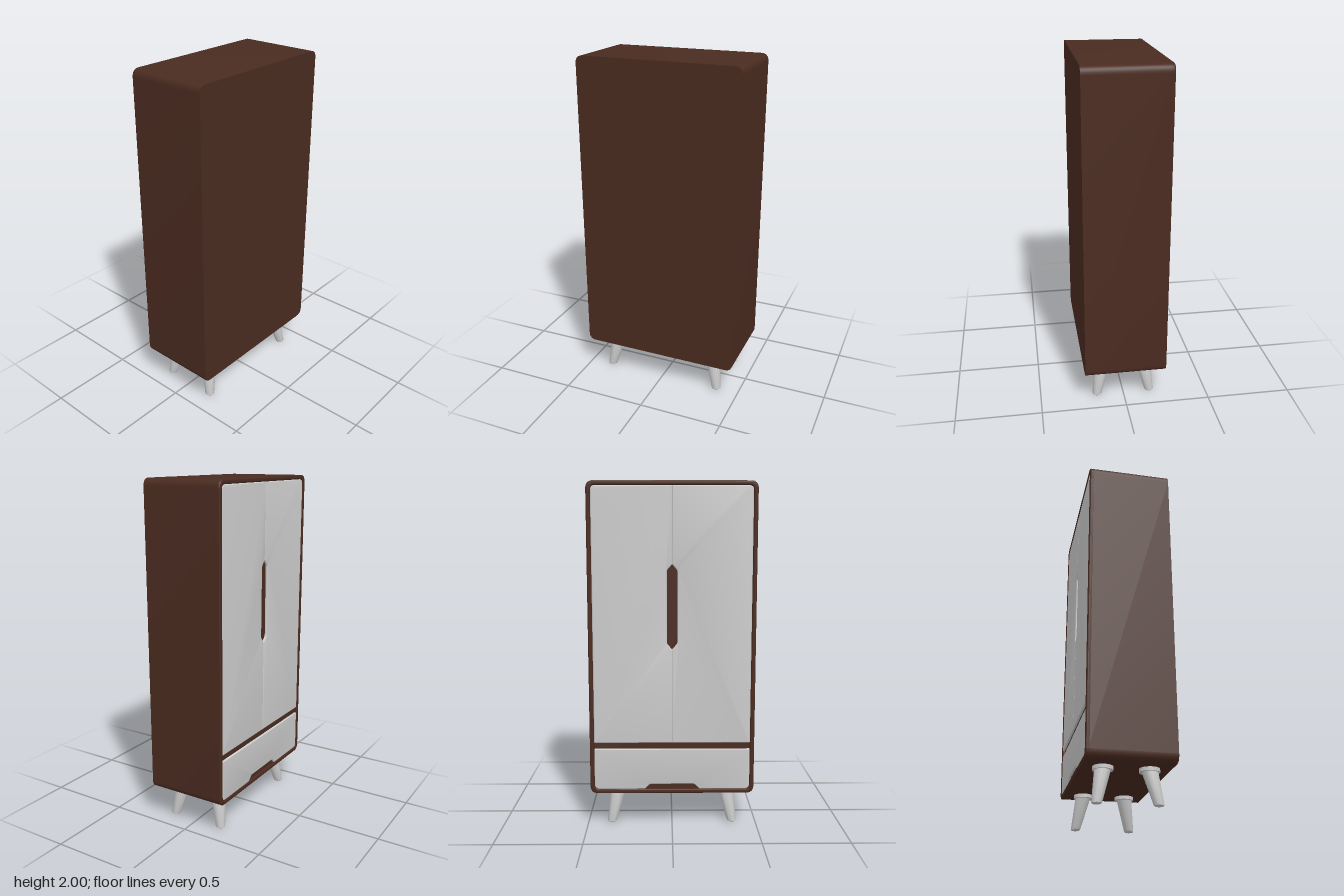
import * as THREE from 'three';
import { toCreasedNormals } from 'three/addons/utils/BufferGeometryUtils.js';

const brown = new THREE.MeshStandardMaterial({ color: 0x4a2b20 });
const grey = new THREE.MeshStandardMaterial({ color: 0xcccccc });

const W = 0.48, D = 0.24, BOTTOM = 0.2, TOP = 2; // carcass half width, half depth, heights
const RIM = 0.025, FLOOR = 0.225;                // rim width, depth of the recessed face

// Closed outline from [x, y, cornerRadius] points
function outline(points, Type = THREE.Shape) {
  const path = new Type();
  const n = points.length;
  points.forEach(([x, y, r = 0], i) => {
    const p = new THREE.Vector2(x, y);
    const toward = ([qx, qy]) =>
      new THREE.Vector2(qx, qy).sub(p).setLength(r).add(p);
    const a = toward(points[(i + n - 1) % n]);
    const b = toward(points[(i + 1) % n]);
    if (i === 0) path.moveTo(a.x, a.y);
    else path.lineTo(a.x, a.y);
    if (r > 0) path.quadraticCurveTo(x, y, b.x, b.y);
  });
  path.closePath();
  return path;
}

const roundedRect = (w, y0, y1, r, Type) =>
  outline([[-w, y0, r], [w, y0, r], [w, y1, r], [-w, y1, r]], Type);

// Slab between two depths, with an optional edge bevel kept inside the outline
function slab(name, shape, z0, z1, bevel, material) {
  const geometry = new THREE.ExtrudeGeometry(shape, {
    depth: z1 - z0 - 2 * bevel,
    bevelEnabled: bevel > 0,
    bevelSize: bevel,
    bevelThickness: bevel,
    bevelOffset: -bevel,
    bevelSegments: 3,
    curveSegments: 8,
  });
  geometry.translate(0, 0, z0 + bevel);
  const mesh = new THREE.Mesh(toCreasedNormals(geometry, 0.6), material);
  mesh.name = name;
  return mesh;
}

// Door for one side, with a slanted hand notch on the centre seam
function door(side) {
  const outer = W - RIM;
  const points = [
    [0, 0.505], [outer, 0.505, 0.004], [outer, TOP - RIM, 0.03], [0, TOP - RIM],
    [0, 1.54], [0.03, 1.505, 0.01], [0.03, 1.09, 0.01], [0, 1.055],
  ].map(([x, y, r]) => [x * side, y, r]);
  if (side < 0) points.reverse();
  return slab(side < 0 ? 'leftDoor' : 'rightDoor', outline(points), FLOOR - 0.01, 0.237, 0.006, grey);
}

// Splayed tapered leg with an upright collar
function leg(sx, sz) {
  const group = new THREE.Group();
  group.name = 'leg';
  const profile = [[0, 0], [0.022, 0], [0.026, 0.003], [0.028, 0.01], [0.044, 0.185], [0, 0.185]]
    .map(([r, y]) => new THREE.Vector2(r, y));
  const shaftGeometry = new THREE.LatheGeometry(profile, 28);
  // Lean the shaft outward while its foot stays flat
  const p = shaftGeometry.attributes.position;
  for (let i = 0; i < p.count; i++) {
    const lean = 0.037 * (1 - p.getY(i) / 0.19);
    p.setX(i, p.getX(i) + sx * lean);
    p.setZ(i, p.getZ(i) + sz * lean);
  }
  const shaft = new THREE.Mesh(toCreasedNormals(shaftGeometry, 0.6), grey);
  shaft.name = 'legShaft';
  const collar = new THREE.Mesh(new THREE.CylinderGeometry(0.055, 0.055, 0.022, 28), grey);
  collar.name = 'legCollar';
  collar.position.y = 0.191;
  group.add(shaft, collar);
  group.position.set(sx * 0.323, 0, sz * 0.124);
  return group;
}

export function createModel() {
  const model = new THREE.Group();
  model.name = 'wardrobe';

  // Cabinet is built with its doors on +z, then turned to face -z
  const cabinet = new THREE.Group();
  cabinet.name = 'cabinet';
  cabinet.rotation.y = Math.PI;
  model.add(cabinet);

  cabinet.add(slab('carcass', roundedRect(W, BOTTOM, TOP, 0.045), -D, FLOOR, 0, brown));

  const rimShape = roundedRect(W, BOTTOM, TOP, 0.045);
  rimShape.holes.push(roundedRect(W - RIM, BOTTOM + RIM, TOP - RIM, 0.03, THREE.Path));
  cabinet.add(slab('rim', rimShape, FLOOR - 0.012, D, 0.006, brown));

  for (const side of [-1, 1]) cabinet.add(door(side));

  // Drawer front with a finger notch in its lower edge
  const w = W - RIM, y0 = BOTTOM + RIM;
  const drawerShape = outline([
    [-w, y0, 0.03], [-0.16, y0], [-0.13, y0 + 0.03, 0.01], [0.13, y0 + 0.03, 0.01],
    [0.16, y0], [w, y0, 0.03], [w, 0.468, 0.004], [-w, 0.468, 0.004],
  ]);
  cabinet.add(slab('drawerFront', drawerShape, FLOOR - 0.01, 0.237, 0.006, grey));

  for (const sx of [-1, 1]) for (const sz of [-1, 1]) model.add(leg(sx, sz));
  return model;
}
